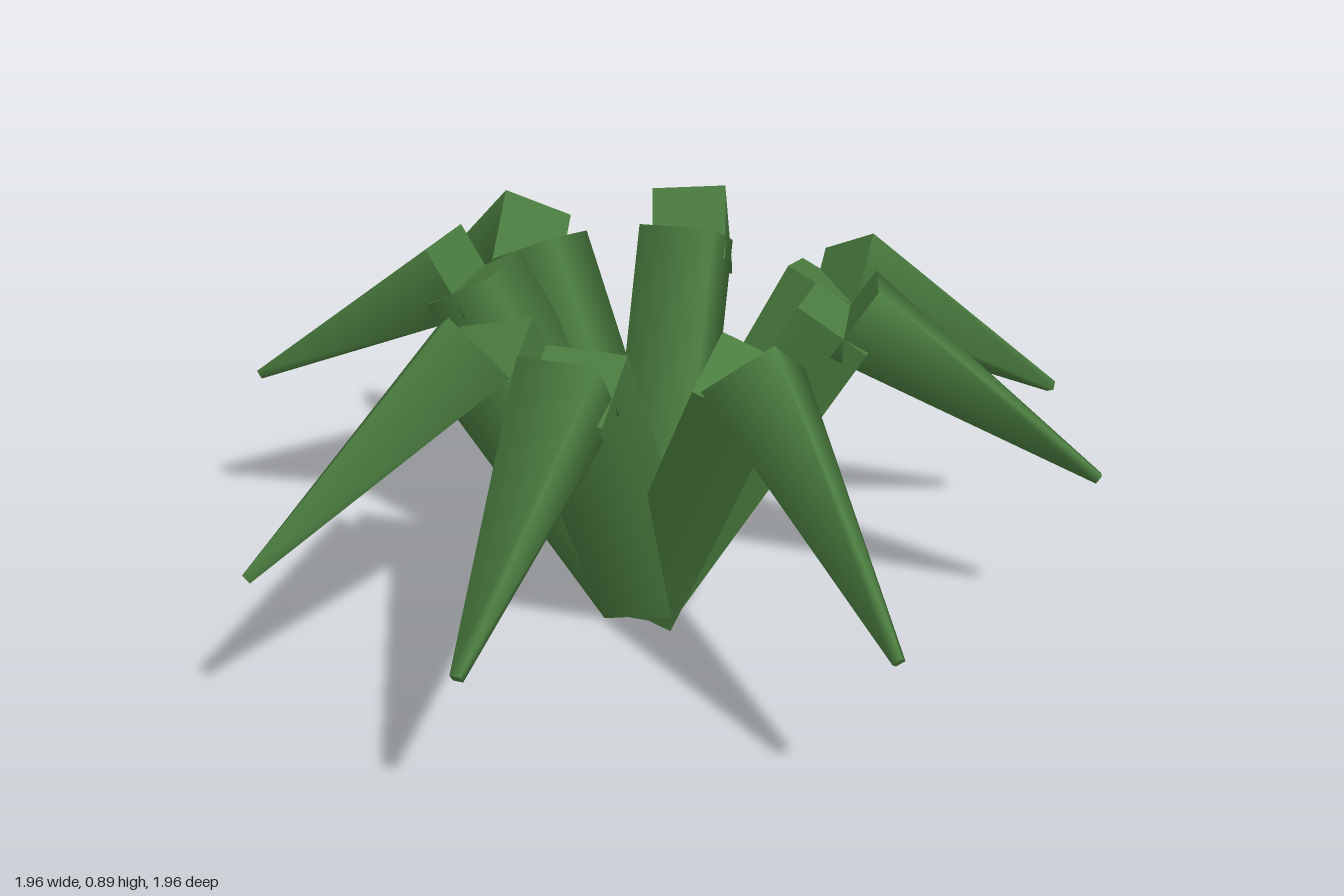
import * as THREE from 'three';

const UP = new THREE.Vector3(0, 1, 0);

// Four-sided tapered bar between two points, swung straight from vertical
function bar(name, from, to, rStart, rEnd, material) {
  const dir = to.clone().sub(from);
  const mesh = new THREE.Mesh(new THREE.CylinderGeometry(rEnd, rStart, dir.length(), 4), material);
  mesh.position.copy(from).add(to).multiplyScalar(0.5);
  mesh.quaternion.setFromUnitVectors(UP, dir.normalize());
  mesh.name = name;
  return mesh;
}

export function createModel() {
  const model = new THREE.Group();
  model.name = 'plant';
  const green = new THREE.MeshStandardMaterial({ color: 0x4a7c3f });
  green.name = 'leaf green';

  // Compass angle of each leaf, from +x towards +z
  const angles = [9.5, 35.5, 87.8, 137.2, 170.5, 227, 258.5, 308.3];
  for (const deg of angles) {
    const a = THREE.MathUtils.degToRad(deg);
    const at = (r, y) => new THREE.Vector3(r * Math.cos(a), y, r * Math.sin(a));
    const leaf = new THREE.Group();
    leaf.name = 'leaf';
    leaf.add(
      // Rising stalk
      bar('leafStalk', at(0.005, 0.063), at(0.415, 0.773), 0.124, 0.124, green),
      // Drooping pointed blade
      bar('leafBlade', at(0.44, 0.785), at(0.985, 0.435), 0.122, 0.015, green)
    );
    model.add(leaf);
  }
  return model;
}
